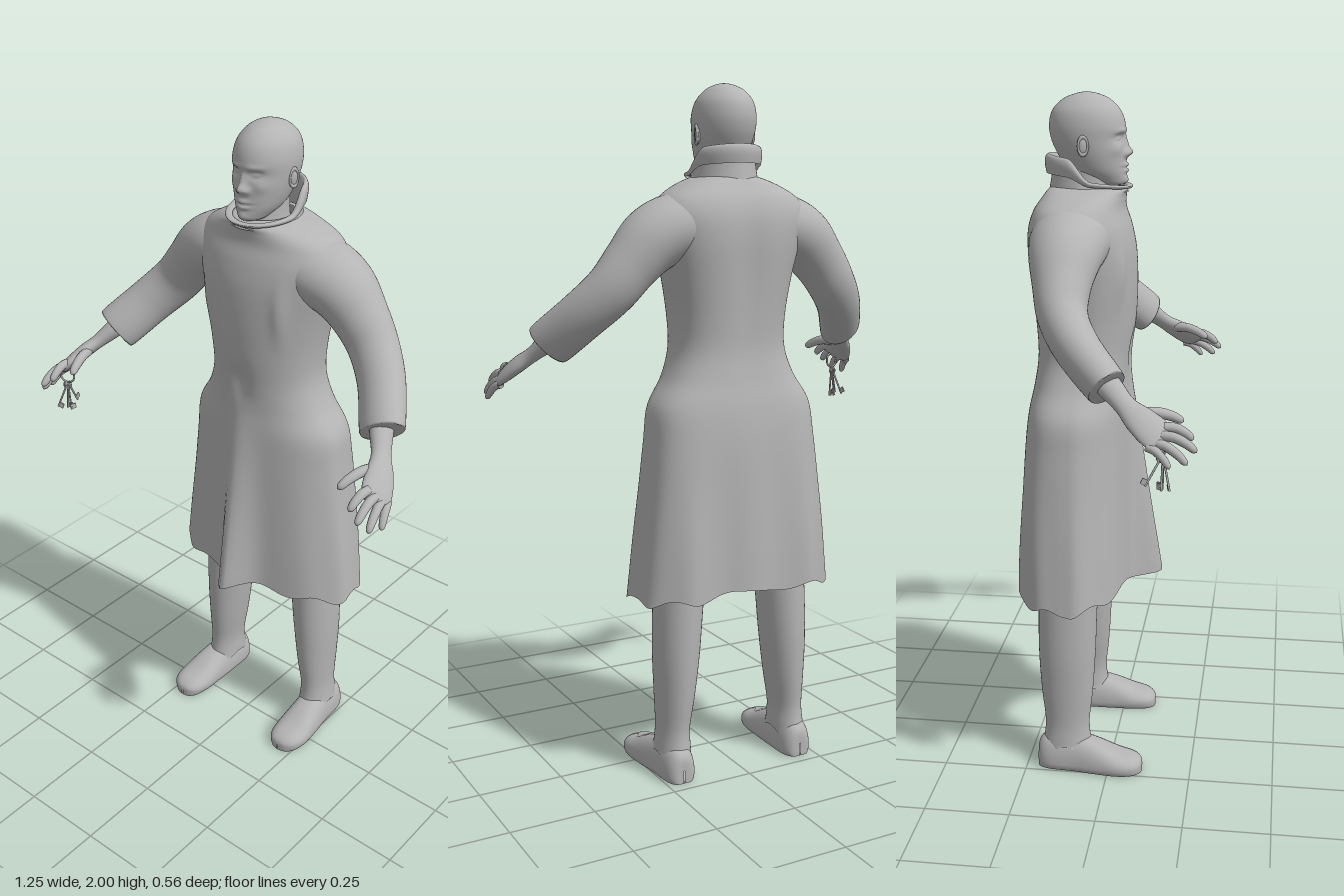
import * as THREE from 'three';

const grey = new THREE.MeshStandardMaterial({ color: 0xb4b4b4, side: THREE.DoubleSide });
grey.name = 'grey';

const mesh = (name, geometry) => {
  const m = new THREE.Mesh(geometry, grey);
  m.name = name;
  return m;
};
const gauss = (x, y, x0, y0, sx, sy) => Math.exp(-(((x - x0) / sx) ** 2) - ((y - y0) / sy) ** 2);
const smooth = (a, b, x) => THREE.MathUtils.smoothstep(x, a, b);

// Smooth interpolation of a table of section rows, t in 0..1
function sample(rows, t) {
  const f = t * (rows.length - 1), i = Math.min(Math.floor(f), rows.length - 2), k = f - i;
  const r = (j) => rows[Math.max(0, Math.min(rows.length - 1, j))];
  return rows[0].map((_, c) => {
    const p0 = r(i - 1)[c], p1 = r(i)[c], p2 = r(i + 1)[c], p3 = r(i + 2)[c];
    return p1 + 0.5 * k * (p2 - p0 + k * (2 * p0 - 5 * p1 + 4 * p2 - p3 + k * (3 * (p1 - p2) + p3 - p0)));
  });
}

// Skin of rings: point(angle, t) returns a Vector3
function skin(point, nU, nV) {
  const pos = [], idx = [];
  for (let j = 0; j <= nV; j++)
    for (let i = 0; i < nU; i++) pos.push(...point((i / nU) * Math.PI * 2, j / nV).toArray());
  for (let j = 0; j < nV; j++)
    for (let i = 0; i < nU; i++) {
      const a = j * nU + i, b = j * nU + ((i + 1) % nU);
      idx.push(a, b, b + nU, a, b + nU, a + nU);
    }
  const g = new THREE.BufferGeometry();
  g.setAttribute('position', new THREE.Float32BufferAttribute(pos, 3));
  g.setIndex(idx);
  g.computeVertexNormals();
  return g;
}

// Upright form from rows [y, half width, front z, back z, centre x]
function upright(rows, nU, nV, bend = () => {}, backPower = 2) {
  return skin((a, t) => {
    const [y, w, zf, zb, cx = 0] = sample(rows, t);
    const s = Math.sin(a), c = Math.cos(a), e = c < 0 ? 2 / backPower : 1;
    const zm = (zf + zb) / 2, h = (zf - zb) / 2;
    const p = new THREE.Vector3(
      cx + w * Math.sign(s) * Math.abs(s) ** e, y, zm + h * Math.sign(c) * Math.abs(c) ** e);
    bend(p, a, t);
    return p;
  }, nU, nV);
}

// Limb along a path from rows [x, y, z, radius along wide, radius across]
function limb(rows, wide, nU, nV) {
  return skin((a, t) => {
    const q = sample(rows, t);
    const d = (k) => new THREE.Vector3(...sample(rows, k).slice(0, 3));
    const T = d(Math.min(1, t + 0.03)).sub(d(Math.max(0, t - 0.03))).normalize();
    const W = wide.clone().addScaledVector(T, -wide.dot(T)).normalize();
    const N = T.clone().cross(W);
    return new THREE.Vector3(q[0], q[1], q[2])
      .addScaledVector(W, q[3] * Math.cos(a)).addScaledVector(N, q[4] * Math.sin(a));
  }, nU, nV);
}

function makeCoat() {
  const rows = [
    [0.57, 0.316, 0.055, -0.268], [0.7, 0.3, 0.052, -0.268], [0.85, 0.28, 0.048, -0.266],
    [1.0, 0.262, 0.045, -0.262], [1.1, 0.248, 0.042, -0.252], [1.18, 0.2, 0.04, -0.236],
    [1.26, 0.172, 0.045, -0.226], [1.35, 0.172, 0.055, -0.23], [1.46, 0.19, 0.06, -0.24],
    [1.56, 0.215, 0.056, -0.248], [1.63, 0.23, 0.042, -0.245], [1.68, 0.212, 0.026, -0.23],
    [1.715, 0.16, 0.026, -0.208], [1.738, 0.1, 0.03, -0.19], [1.745, 0.07, 0, -0.16]];
  return upright(rows, 128, 80, (p, a) => {
    const x = p.x, y = p.y, skirt = 1 - smooth(0.57, 1.22, y);
    // front overlap ridge, chest creases, hanging back lobes
    if (Math.cos(a) > 0) {
      p.z += 0.085 * THREE.MathUtils.clamp((1.22 - y) / 0.64, 0, 1) * Math.exp(-((x / (x > 0 ? 0.055 : 0.04)) ** 2));
      p.z += 0.01 * (gauss(x, y, 0.13, 1.5, 0.02, 0.08) + gauss(x, y, -0.13, 1.5, 0.02, 0.08));
      p.z -= 0.012 * gauss(x, y, 0, 1.27, 0.03, 0.05);
    } else {
      p.z -= 0.02 * skirt * (gauss(x, 0, 0.21, 0, 0.06, 1) + gauss(x, 0, -0.21, 0, 0.06, 1));
      p.z -= 0.009 * skirt * Math.cos(x * 31) * Math.exp(-((x / 0.15) ** 2));
      p.z += 0.01 * gauss(x, y, 0, 1.5, 0.05, 0.18);
    }
    // wavy hem
    p.x *= 1 + 0.015 * skirt * Math.cos(9 * a);
    p.y += (1 - smooth(0.57, 0.8, y)) * (0.012 * Math.cos(2 * a) - 0.01 * Math.cos(9 * a + 1) - 0.008 * (1 - Math.cos(a)));
  }, 2.7);
}

function makeCollar() {
  // profile of a standing band folding outward: [radius scale, height share]
  const profile = [[1.02, -0.2], [0.95, 0.3], [0.92, 0.7], [0.98, 1], [1.08, 0.97], [1.12, 0.75], [1.08, 0.4]];
  return skin((a, t) => {
    const [r, k] = sample(profile, t), b = (1 - Math.cos(a)) / 2;
    const h = 0.016 + 0.014 * b + 0.055 * smooth(0.42, 0.72, b);
    return new THREE.Vector3(
      0.095 * r * Math.sin(a), 1.73 + 0.015 * b + h * k, -0.08 + 0.112 * r * Math.cos(a));
  }, 64, 18);
}

function makeHead() {
  const rows = [
    [1.744, 0.004, 0, -0.02], [1.748, 0.032, 0.02, -0.06], [1.765, 0.05, 0.026, -0.11],
    [1.79, 0.066, 0.026, -0.142], [1.83, 0.079, 0.025, -0.168], [1.87, 0.086, 0.022, -0.186],
    [1.91, 0.087, 0.024, -0.192], [1.95, 0.077, 0.01, -0.182], [1.98, 0.053, -0.02, -0.152],
    [1.995, 0.026, -0.055, -0.115], [2.0, 0.001, -0.084, -0.086]];
  return upright(rows, 112, 90, (p, a) => {
    if (Math.cos(a) <= 0) return;
    const x = Math.abs(p.x), y = p.y;
    // nose, eye sockets, lids, brows, cheeks, lips and chin
    p.z += 0.018 * gauss(x, y, 0, 1.836, 0.013, 0.013) + 0.009 * gauss(x, y, 0, 1.86, 0.009, 0.022)
      + 0.008 * gauss(x, y, 0.016, 1.832, 0.008, 0.008)
      - 0.011 * gauss(x, y, 0.033, 1.876, 0.018, 0.011) + 0.008 * gauss(x, y, 0.034, 1.875, 0.011, 0.005)
      + 0.005 * gauss(x, y, 0.03, 1.895, 0.024, 0.007) + 0.005 * gauss(x, y, 0.05, 1.845, 0.016, 0.016)
      + 0.008 * gauss(x, y, 0, 1.801, 0.02, 0.006) + 0.008 * gauss(x, y, 0, 1.786, 0.018, 0.006)
      - 0.004 * gauss(x, y, 0, 1.794, 0.024, 0.003) + 0.007 * gauss(x, y, 0, 1.758, 0.02, 0.012);
  });
}

// Arm with sleeve, wrist, palm and fingers; s is the side
function makeArm(s) {
  const arm = new THREE.Group();
  const side = (rows) => rows.map(([x, ...rest]) => [x * s, ...rest]);
  arm.add(mesh('sleeve', limb(side([
    [0.06, 1.61, -0.108, 0.085, 0.105], [0.16, 1.605, -0.11, 0.094, 0.112], [0.24, 1.57, -0.112, 0.092, 0.1],
    [0.305, 1.505, -0.11, 0.08, 0.08], [0.362, 1.435, -0.098, 0.074, 0.068], [0.425, 1.365, -0.05, 0.071, 0.062],
    [0.487, 1.287, 0.03, 0.071, 0.056], [0.484, 1.291, 0.026, 0.063, 0.049], [0.45, 1.34, -0.02, 0.03, 0.03],
  ]), new THREE.Vector3(0.7 * s, 0.7, 0), 40, 48)));
  const wide = new THREE.Vector3(-0.62 * s, 0.5, 0.5);
  arm.add(mesh('hand', limb(side([
    [0.45, 1.34, -0.02, 0.04, 0.035], [0.495, 1.283, 0.045, 0.034, 0.028], [0.526, 1.245, 0.088, 0.029, 0.021],
    [0.55, 1.218, 0.125, 0.04, 0.021], [0.57, 1.19, 0.165, 0.046, 0.018], [0.582, 1.172, 0.19, 0.038, 0.012],
    [0.586, 1.167, 0.196, 0.001, 0.001],
  ]), wide, 24, 30)));
  // [root, tip, radius]
  const fingers = [
    [[0.597, 1.158, 0.152], [0.62, 1.11, 0.212], 0.0105], [[0.59, 1.168, 0.172], [0.608, 1.118, 0.255], 0.0115],
    [[0.578, 1.184, 0.187], [0.585, 1.145, 0.277], 0.012], [[0.56, 1.2, 0.192], [0.553, 1.168, 0.266], 0.012],
    [[0.53, 1.225, 0.13], [0.494, 1.198, 0.236], 0.0135]];
  fingers.forEach(([a, b, r]) => {
    const rows = [0, 0.35, 0.7, 0.93, 1].map((k, i) => [
      ...a.map((v, c) => v + (b[c] - v) * k + (c === 1 ? 0.012 * Math.sin(k * Math.PI) : 0)),
      ...Array(2).fill(r * [1.1, 1.1, 1, 0.75, 0.05][i])]);
    arm.add(mesh('finger', limb(side(rows), wide, 12, 14)));
  });
  return arm;
}

function makeLeg(s) {
  const leg = new THREE.Group(), at = (rows) => rows.map((r) => [...r.slice(0, 4), r[4] * s]);
  leg.add(mesh('trouserLeg', upright(at([
    [0.07, 0.052, -0.045, -0.205, 0.197], [0.09, 0.05, -0.055, -0.2, 0.196], [0.15, 0.047, -0.06, -0.195, 0.194],
    [0.25, 0.056, -0.05, -0.206, 0.188], [0.38, 0.066, -0.042, -0.214, 0.182], [0.55, 0.072, -0.036, -0.214, 0.172],
    [0.75, 0.08, -0.02, -0.21, 0.155], [0.95, 0.085, -0.01, -0.2, 0.13],
  ]), 40, 40, (p, a, t) => { p.y += 0.01 * Math.cos(4 * a) * (1 - smooth(0, 0.12, t)); })));
  // shoe sections along z: [z, half width, top, centre x]
  const shoe = [
    [-0.215, 0.002, 0.04, 0.2], [-0.212, 0.03, 0.08, 0.2], [-0.18, 0.048, 0.105, 0.2], [-0.1, 0.053, 0.108, 0.202],
    [-0.03, 0.058, 0.088, 0.207], [0.03, 0.06, 0.062, 0.21], [0.075, 0.05, 0.05, 0.21], [0.098, 0.028, 0.036, 0.208],
    [0.104, 0.002, 0.02, 0.208]];
  leg.add(mesh('shoe', skin((a, t) => {
    const [z, w, top, cx] = sample(shoe, t), c = Math.cos(a), v = Math.sin(a);
    const x = w * Math.sign(c) * Math.abs(c) ** 0.75;
    return new THREE.Vector3(s * cx + x, Math.max(0, 0.022 + (v > 0 ? (top - 0.022) * v : 0.04 * v)), z);
  }, 40, 40)));
  return leg;
}

function makeKeys() {
  const keys = new THREE.Group();
  keys.add(mesh('keyRing', new THREE.TorusGeometry(0.024, 0.003, 8, 28)));
  for (let i = 0; i < 4; i++) {
    const key = new THREE.Group();
    key.name = 'key';
    const bow = mesh('keyBow', new THREE.TorusGeometry(0.009, 0.003, 6, 16));
    bow.position.y = -0.012;
    const shaft = mesh('keyShaft', new THREE.CylinderGeometry(0.003, 0.003, 0.075, 8));
    shaft.position.y = -0.058;
    const bit = mesh('keyBit', new THREE.BoxGeometry(0.018, 0.016, 0.004));
    bit.position.set(0.007, -0.086, 0);
    key.add(bow, shaft, bit);
    key.position.y = -0.024;
    key.rotation.set(0.12 * (i % 2 ? 1 : -1), i * 0.5, (i - 1.5) * 0.25);
    keys.add(key);
  }
  keys.position.set(-0.566, 1.155, 0.19);
  keys.rotation.y = 0.3;
  return keys;
}

export function createModel() {
  const model = new THREE.Group();
  model.name = 'figureInCoat';
  const add = (name, part) => { part.name = name; model.add(part); };
  add('coat', mesh('coat', makeCoat()));
  add('collar', mesh('collar', makeCollar()));
  add('head', mesh('head', makeHead()));
  add('neck', mesh('neck', upright([[1.68, 0.075, -0.01, -0.17], [1.74, 0.06, -0.01, -0.15], [1.82, 0.058, -0.02, -0.15]], 32, 10)));
  for (const s of [1, -1]) {
    const name = s > 0 ? 'left' : 'right';
    add(name + 'Arm', makeArm(s));
    add(name + 'Leg', makeLeg(s));
    // ear with a raised rim
    const ear = new THREE.Group();
    const lobe = mesh('earLobe', new THREE.SphereGeometry(1, 20, 14));
    lobe.scale.set(0.008, 0.026, 0.015);
    const rim = mesh('earRim', new THREE.TorusGeometry(0.016, 0.004, 8, 24));
    rim.rotation.y = Math.PI / 2;
    rim.scale.set(0.85, 1.5, 1);
    rim.position.x = 0.004 * s;
    ear.add(lobe, rim);
    ear.position.set(0.084 * s, 1.857, -0.085);
    ear.rotation.y = -0.3 * s;
    add(name + 'Ear', ear);
  }
  add('keys', makeKeys());
  return model;
}
